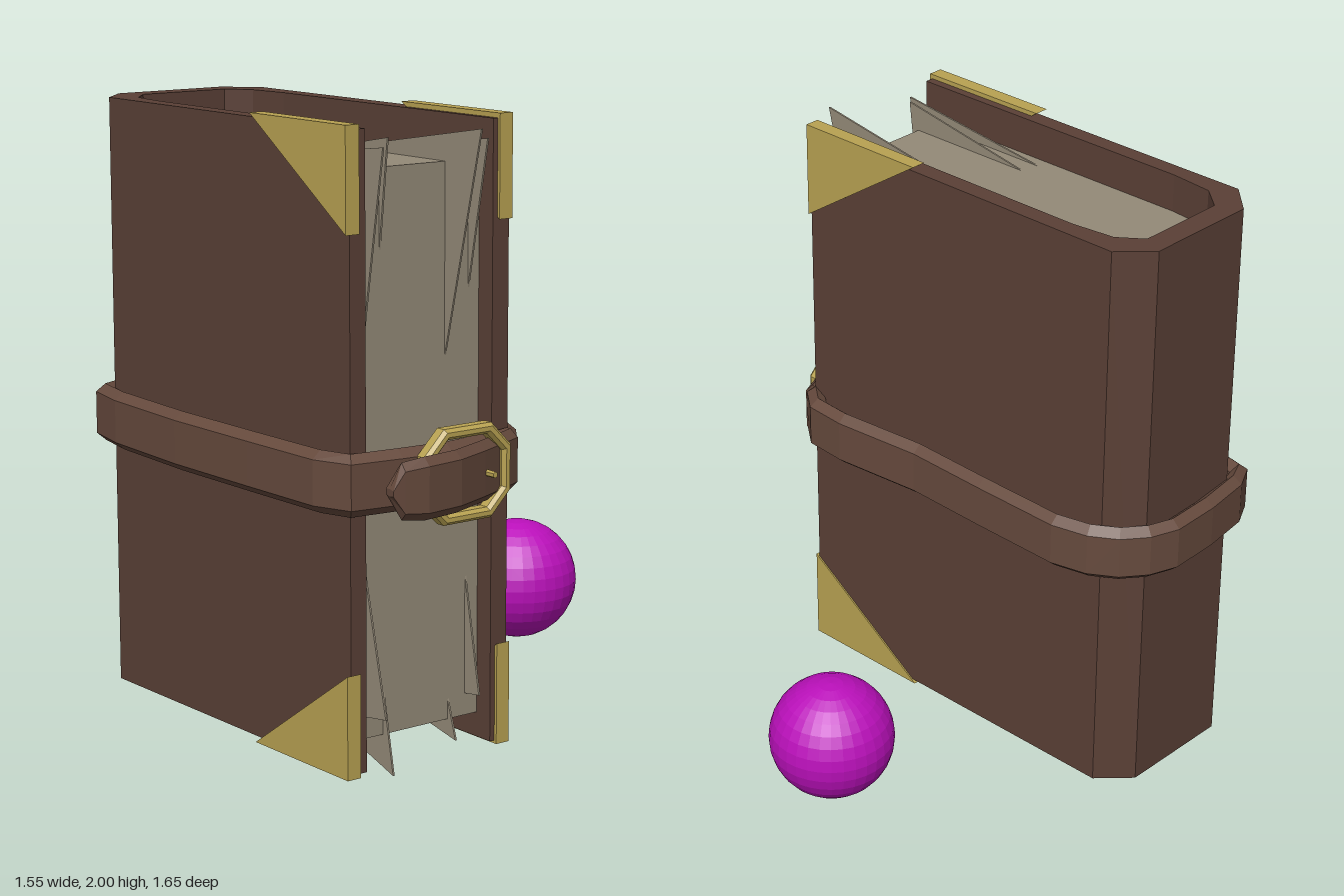
import * as THREE from 'three';

const mat = (color, side = THREE.FrontSide) =>
  new THREE.MeshStandardMaterial({ color, flatShading: true, side });
const leather = mat(0x5a4036), strapLeather = mat(0x664a3d);
const brass = mat(0xb8a252), paper = mat(0x948a78, THREE.DoubleSide), magenta = mat(0xbb10bb);

const shapeOf = (pts) => new THREE.Shape(pts.map(([x, y]) => new THREE.Vector2(x, y)));

// Upright prism: plan outline in (x, z), from y0 to y1
function prism(plan, y0, y1) {
  const g = new THREE.ExtrudeGeometry(shapeOf(plan.map(([x, z]) => [x, -z])), { depth: y1 - y0, bevelEnabled: false });
  return g.rotateX(-Math.PI / 2).translate(0, y0, 0);
}

// Thin or thick plate: outline in (z, y), starting at x and growing toward -x
function plate(outline, x, thickness) {
  const g = new THREE.ExtrudeGeometry(shapeOf(outline), { depth: thickness, bevelEnabled: false });
  return g.rotateY(-Math.PI / 2).translate(x, 0, 0);
}

// Horizontal strap swept along (x, z, height scale) points with a chamfered section.
// Points run so that the outside of the strap lies to the left of the path.
function strapGeometry(path, half, closed) {
  const section = [[half, -0.07], [half, 0.07], [0, 0.096], [-half, 0.07], [-half, -0.07], [0, -0.096]];
  const n = path.length, m = section.length, pos = [], idx = [];
  path.forEach(([x, z, s = 1], i) => {
    const a = path[closed ? (i + n - 1) % n : Math.max(i - 1, 0)];
    const b = path[closed ? (i + 1) % n : Math.min(i + 1, n - 1)];
    const dx = b[0] - a[0], dz = b[1] - a[1], len = Math.hypot(dx, dz);
    section.forEach(([o, y]) => pos.push(x + (dz / len) * o, y * s, z - (dx / len) * o));
  });
  for (let i = 0; i < (closed ? n : n - 1); i++) {
    for (let j = 0; j < m; j++) {
      const a = i * m + j, b = i * m + (j + 1) % m;
      const c = ((i + 1) % n) * m + j, d = ((i + 1) % n) * m + (j + 1) % m;
      idx.push(a, b, c, b, d, c);
    }
  }
  if (!closed) {
    const e = (n - 1) * m;
    for (let j = 1; j < m - 1; j++) idx.push(0, j + 1, j, e, e + j, e + j + 1);
  }
  const g = new THREE.BufferGeometry();
  g.setAttribute('position', new THREE.Float32BufferAttribute(pos, 3));
  g.setIndex(idx);
  g.computeVertexNormals();
  return g;
}

export function createModel() {
  const model = new THREE.Group();
  const add = (name, geometry, material, parent = model) => {
    const mesh = new THREE.Mesh(geometry, material);
    mesh.name = name;
    parent.add(mesh);
    return mesh;
  };

  // U-shaped cover with a chamfered spine
  add('cover', prism([
    [-0.703, 0.625], [-0.645, 0.625], [-0.645, -0.45], [-0.63, -0.6], [-0.56, -0.68],
    [-0.24, -0.68], [-0.18, -0.6], [-0.163, -0.45], [-0.163, 0.625], [-0.1, 0.625],
    [-0.1, -0.66], [-0.2, -0.76], [-0.603, -0.76], [-0.703, -0.66],
  ], 0.04, 1.985), leather);

  // Page block
  add('pages', prism([
    [-0.645, 0.56], [-0.163, 0.56], [-0.163, -0.45], [-0.18, -0.6], [-0.24, -0.68],
    [-0.56, -0.68], [-0.63, -0.6], [-0.645, -0.45],
  ], 0.12, 1.86), paper);

  // Loose sheets poking out: x, then three (z, y) corners
  const sheets = new THREE.Group();
  sheets.name = 'looseSheets';
  model.add(sheets);
  [
    [-0.605, [[0, 1.85], [0.55, 1.28], [0.66, 1.93]]],
    [-0.542, [[0.04, 1.85], [0.55, 1.53], [0.6, 1.95]]],
    [-0.293, [[-0.01, 1.85], [0.555, 1.25], [0.73, 1.97]]],
    [-0.203, [[0.06, 1.85], [0.55, 1.42], [0.65, 1.93]]],
    [-0.612, [[0.1, 0.13], [0.68, 0.21], [0.55, 0.76]]],
    [-0.53, [[0.2, 0.13], [0.61, 0], [0.555, 0.28]]],
    [-0.278, [[0.25, 0.13], [0.6, 0.06], [0.555, 0.2]]],
    [-0.21, [[0.1, 0.13], [0.63, 0.2], [0.55, 0.62]]],
  ].forEach(([x, tri]) => add('looseSheet', plate(tri, x + 0.003, 0.006), paper, sheets));

  // Brass guards on the four cover corners
  for (const x of [-0.674, -0.095]) {
    add('topCorner', plate([[0.635, 2], [0.155, 2], [0.635, 1.68]], x, 0.05), brass);
    add('bottomCorner', plate([[0.635, 0.03], [0.635, 0.355], [0.155, 0.03]], x, 0.05), brass);
  }

  // Strap loop around the book
  const belt = new THREE.Group();
  belt.name = 'strap';
  belt.position.y = 0.937;
  model.add(belt);
  add('strapLoop', strapGeometry([
    [-0.745, -0.2], [-0.722, -0.58], [-0.69, -0.74], [-0.62, -0.772], [-0.45, -0.795], [-0.28, -0.8],
    [-0.195, -0.77], [-0.125, -0.715], [-0.075, -0.635], [-0.048, -0.52], [-0.055, -0.2], [-0.066, 0.1],
    [-0.038, 0.42], [-0.048, 0.56], [-0.1, 0.625], [-0.2, 0.648], [-0.38, 0.67], [-0.55, 0.655],
    [-0.71, 0.635], [-0.742, 0.53], [-0.745, 0.2],
  ], 0.031, true), strapLeather);

  // Free end of the strap, narrowing to a point
  add('strapTongue', strapGeometry([
    [-0.1, 0.64], [-0.19, 0.68], [-0.3, 0.728], [-0.43, 0.778], [-0.56, 0.795],
    [-0.635, 0.783, 0.9], [-0.672, 0.775, 0.12],
  ], 0.025, false), strapLeather);

  // Buckle: bevelled octagonal frame with a prong
  const octagon = (w, h, c) => [
    [-w, -h + c], [-w + c, -h], [w - c, -h], [w, -h + c],
    [w, h - c], [w - c, h], [-w + c, h], [-w, h - c],
  ];
  const frame = shapeOf(octagon(0.157, 0.137, 0.07));
  frame.holes.push(shapeOf(octagon(0.143, 0.123, 0.063)));
  add('buckleFrame', new THREE.ExtrudeGeometry(frame, {
    depth: 0.032, bevelThickness: 0.012, bevelSize: 0.01, bevelSegments: 1,
  }).translate(-0.335, 0, 0.688), brass, belt);
  const prong = add('buckleProng', new THREE.CylinderGeometry(0.01, 0.014, 0.15, 6), brass, belt);
  prong.rotation.set(Math.PI / 2, 0, 0);
  prong.position.set(-0.28, 0, 0.71);

  // Ball beside the book
  add('ball', new THREE.SphereGeometry(0.205, 32, 16).translate(0.57, 0.295, -0.115), magenta);

  // Raise the swept straps to belt height
  for (const part of model.children.filter((c) => c.name.startsWith('strap') && c !== belt)) {
    part.position.y = belt.position.y;
  }
  return model;
}
